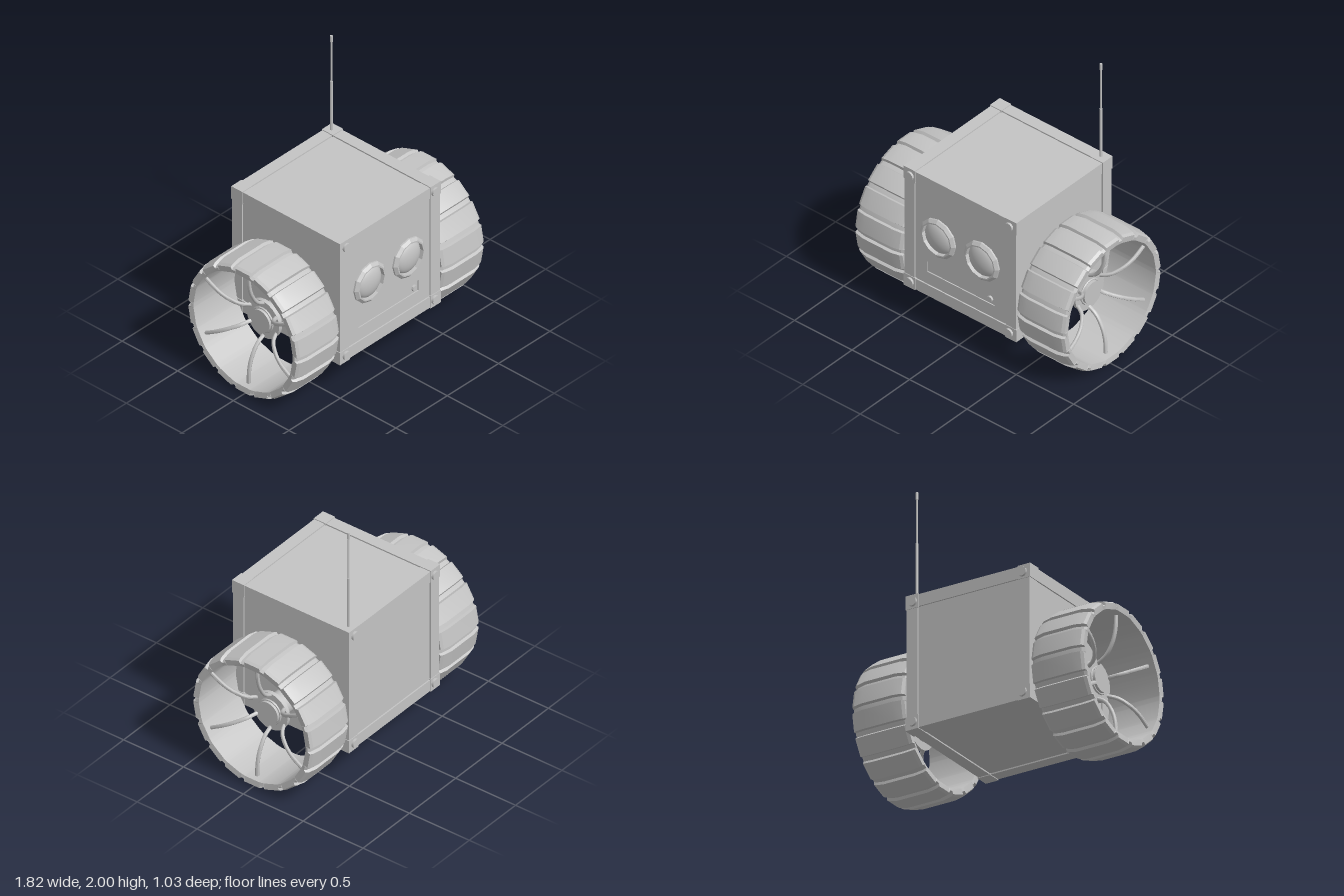
import * as THREE from 'three';
import { toCreasedNormals } from 'three/addons/utils/BufferGeometryUtils.js';

const grey = new THREE.MeshStandardMaterial({ color: 0xc4c4c4 });
grey.name = 'light grey';

const BODY_Y = 0.7475; // centre height of the cube body
const HUB_Y = 0.51;

function add(parent, name, geometry, x = 0, y = 0, z = 0, crease = 0.6) {
  const mesh = new THREE.Mesh(toCreasedNormals(geometry, crease), grey);
  mesh.name = name;
  mesh.position.set(x, y, z);
  parent.add(mesh);
  return mesh;
}

// Cylinder lying along x or z
const rodX = (r, len, n = 20) => new THREE.CylinderGeometry(r, r, len, n).rotateZ(-Math.PI / 2);
const rodZ = (r, len, n = 12) => new THREE.CylinderGeometry(r, r, len, n).rotateX(Math.PI / 2);

function rectPath(target, x0, y0, x1, y1) {
  target.moveTo(x0, y0);
  target.lineTo(x1, y0);
  target.lineTo(x1, y1);
  target.lineTo(x0, y1);
  target.closePath();
  return target;
}

// Barrel-shaped open tyre: a closed profile swept round x, dipping at each tread groove
function tyreGeometry() {
  const profile = [
    [-0.205, 0.488], [-0.185, 0.5], [-0.12, 0.513], [0.12, 0.513],
    [0.185, 0.5], [0.205, 0.488], [0.2, 0.445], [-0.2, 0.445],
  ];
  const steps = [];
  for (let k = 0; k < 18; k++) {
    for (const [deg, dip] of [[-2.7, 0], [-1.8, 0.02], [1.8, 0.02], [2.7, 0]]) {
      steps.push([THREE.MathUtils.degToRad(k * 20 + deg), dip]);
    }
  }
  const positions = [], index = [], n = profile.length;
  steps.forEach(([a, dip], i) => {
    profile.forEach(([x, r], j) => {
      const rad = j < 6 ? r - dip : r;
      positions.push(x, rad * Math.sin(a), rad * Math.cos(a));
      const i2 = (i + 1) % steps.length, j2 = (j + 1) % n;
      const p = i * n + j, q = i * n + j2, s = i2 * n + j, t = i2 * n + j2;
      index.push(p, q, s, q, t, s);
    });
  });
  const g = new THREE.BufferGeometry();
  g.setAttribute('position', new THREE.Float32BufferAttribute(positions, 3));
  g.setIndex(index);
  return g;
}

// Wheel centred on its own axle; +x is the outer side
function makeWheel(name) {
  const wheel = new THREE.Group();
  wheel.name = name;
  add(wheel, 'tyre', tyreGeometry(), 0, 0, 0, 0.3);
  add(wheel, 'axle', rodX(0.085, 0.26), -0.12);
  add(wheel, 'hubFlange', rodX(0.145, 0.03), -0.01);
  add(wheel, 'hubCap', rodX(0.085, 0.04), 0.015);
  add(wheel, 'hubRing', new THREE.TorusGeometry(0.09, 0.008, 6, 20).rotateY(Math.PI / 2), 0.01);
  // Spokes leave the hub outwards, then bend towards the rim
  const curve = new THREE.CatmullRomCurve3([
    new THREE.Vector3(-0.01, 0.125, 0), new THREE.Vector3(0.06, 0.165, 0),
    new THREE.Vector3(0.115, 0.25, 0), new THREE.Vector3(0.14, 0.34, 0),
    new THREE.Vector3(0.145, 0.45, 0),
  ]);
  for (let i = 0; i < 6; i++) {
    const spoke = add(wheel, 'spoke', new THREE.TubeGeometry(curve, 12, 0.014, 8), 0, 0, 0, 1);
    spoke.rotation.x = i * Math.PI / 3;
  }
  return wheel;
}

function makeEye(x) {
  const eye = new THREE.Group();
  eye.name = 'eye';
  eye.position.set(x, 0.775, 0.475);
  const rim = [[0.122, -0.005], [0.152, -0.005], [0.152, 0.012], [0.132, 0.03], [0.122, 0.03], [0.122, -0.005]]
    .map(([r, h]) => new THREE.Vector2(r, h));
  add(eye, 'eyeRim', new THREE.LatheGeometry(rim, 12).rotateX(Math.PI / 2), 0, 0, 0, 0.3);
  add(eye, 'eyeDome', new THREE.SphereGeometry(0.119, 24, 16).scale(1, 1, 0.42), 0, 0, -0.01, 1);
  return eye;
}

export function createModel() {
  const model = new THREE.Group();
  model.name = 'robot';

  // Cube body with a recessed mouth slot in its front panel
  const body = new THREE.Group();
  body.name = 'body';
  body.position.y = BODY_Y;
  model.add(body);
  add(body, 'core', new THREE.BoxGeometry(0.95, 0.95, 0.942), 0, 0, -0.004);
  const panel = rectPath(new THREE.Shape(), -0.42, -0.42, 0.42, 0.42);
  panel.holes.push(rectPath(new THREE.Path(), -0.295, 0.45 - BODY_Y, 0.29, 0.535 - BODY_Y));
  add(body, 'frontPanel', new THREE.ExtrudeGeometry(panel, { depth: 0.009, bevelEnabled: false }), 0, 0, 0.466);
  add(body, 'mouthKnob', rodZ(0.023, 0.02, 8), 0.25, 0.49 - BODY_Y, 0.473);

  // Frame beams, corner blocks and bolts
  for (const a of [-1, 1]) {
    for (const b of [-1, 1]) {
      const u = a * 0.441, v = b * 0.441;
      add(body, 'beamX', new THREE.BoxGeometry(0.8, 0.088, 0.088), 0, u, v);
      add(body, 'beamY', new THREE.BoxGeometry(0.088, 0.8, 0.088), u, 0, v);
      add(body, 'beamZ', new THREE.BoxGeometry(0.088, 0.088, 0.8), u, v, 0);
      for (const c of [-1, 1]) {
        add(body, 'cornerBlock', new THREE.BoxGeometry(0.1, 0.1, 0.1), u, v, c * 0.439);
        add(body, 'bolt', rodZ(0.033, 0.02), a * 0.432, b * 0.437, c * 0.495);
      }
    }
  }

  model.add(makeEye(-0.195), makeEye(0.185));

  // Telescopic antenna on the rear left corner
  for (const [name, r, y0, y1] of [
    ['antennaBase', 0.01, 1.22, 1.63], ['antennaRod', 0.006, 1.62, 1.96], ['antennaTip', 0.01, 1.95, 2],
  ]) {
    add(model, name, new THREE.CylinderGeometry(r, r, y1 - y0, 8), 0.432, (y0 + y1) / 2, -0.44);
  }

  // Wheels, mirrored by a half turn
  const left = makeWheel('leftWheel'), right = makeWheel('rightWheel');
  left.position.set(0.705, HUB_Y, 0);
  right.position.set(-0.705, HUB_Y, 0);
  right.rotation.y = Math.PI;
  model.add(left, right);
  return model;
}
